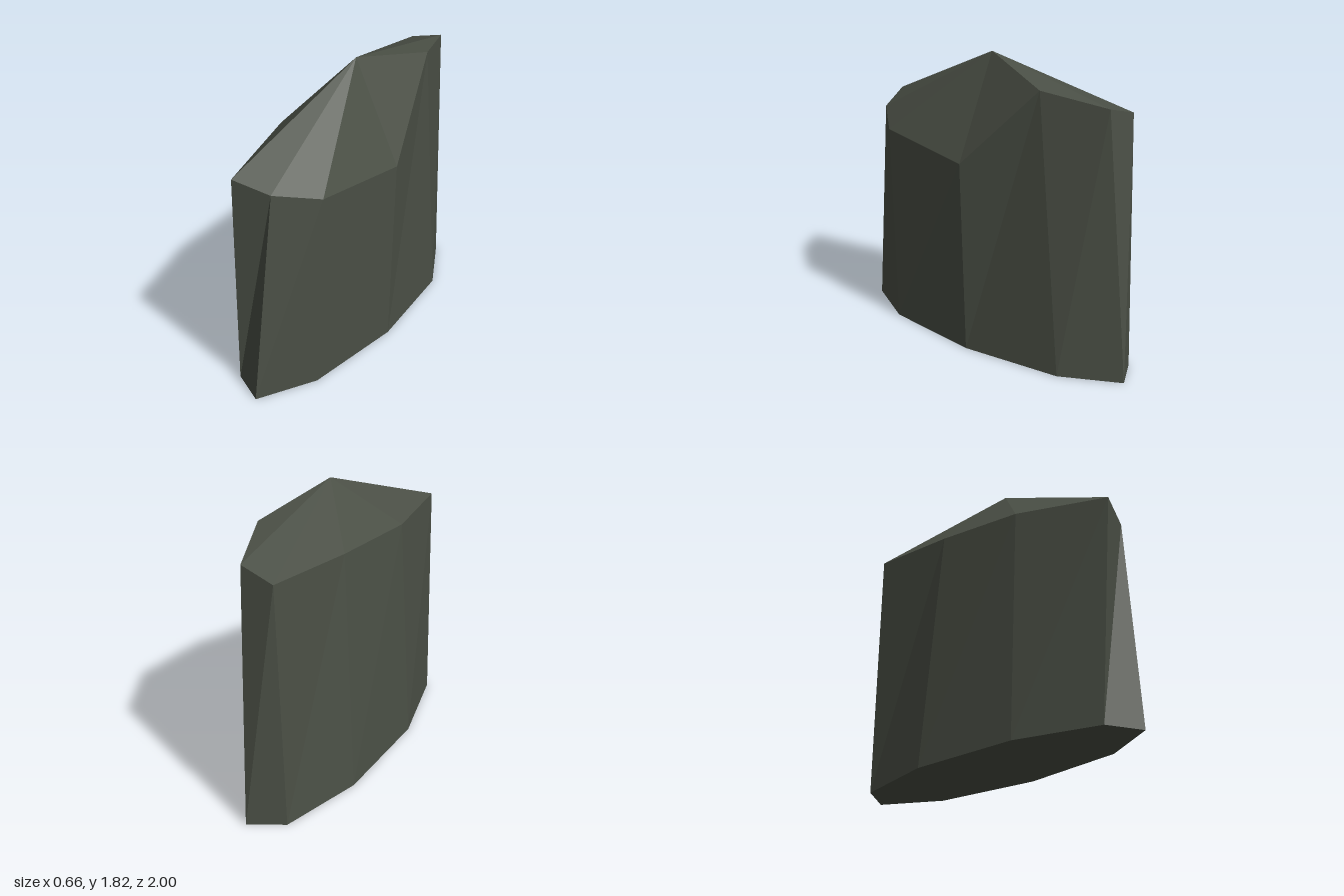
import * as THREE from 'three';

// Builds a flat-shaded mesh from a list of triangles (each three points)
function facets(name, triangles, material) {
  const geometry = new THREE.BufferGeometry();
  geometry.setAttribute('position', new THREE.Float32BufferAttribute(triangles.flat(2), 3));
  geometry.computeVertexNormals();
  const mesh = new THREE.Mesh(geometry, material);
  mesh.name = name;
  return mesh;
}

export function createModel() {
  const rock = new THREE.Group();
  rock.name = 'standingRock';

  const stone = new THREE.MeshStandardMaterial({ color: 0x4b5046, flatShading: true });
  stone.name = 'dark mossy stone';

  // Nine-sided outlines as [x, z], running from +x towards +z
  const baseOutline = [
    [0.285, 0], [0.21, 0.65], [0.02, 1], [-0.19, 0.88], [-0.33, 0.35],
    [-0.33, -0.35], [-0.19, -0.88], [0.02, -1], [0.21, -0.65],
  ];
  const rimOutline = [
    [0.33, 0], [0.263, 0.64], [0.07, 0.86], [-0.147, 0.93], [-0.257, 0.33],
    [-0.22, -0.28], [-0.14, -0.89], [0.07, -0.885], [0.21, -0.5],
  ];
  const n = baseOutline.length;

  // The rim climbs evenly around the rock, with a step where it meets itself
  const base = baseOutline.map(([x, z]) => [x, 0, z]);
  const rim = rimOutline.map(([x, z], i) => [x, 1.2 + i * 0.0638, z]);
  const peak = [0.04, 1.82, 0];

  const sides = [], crown = [], underside = [];
  for (let i = 0; i < n; i++) {
    const j = (i + 1) % n;
    sides.push([base[i], rim[i], base[j]], [base[j], rim[i], rim[j]]);
    crown.push([peak, rim[j], rim[i]]);
    if (i > 0 && j > 0) underside.push([base[0], base[i], base[j]]);
  }

  rock.add(
    facets('rockSides', sides, stone),
    facets('rockCrown', crown, stone),
    facets('rockUnderside', underside, stone),
  );
  return rock;
}
